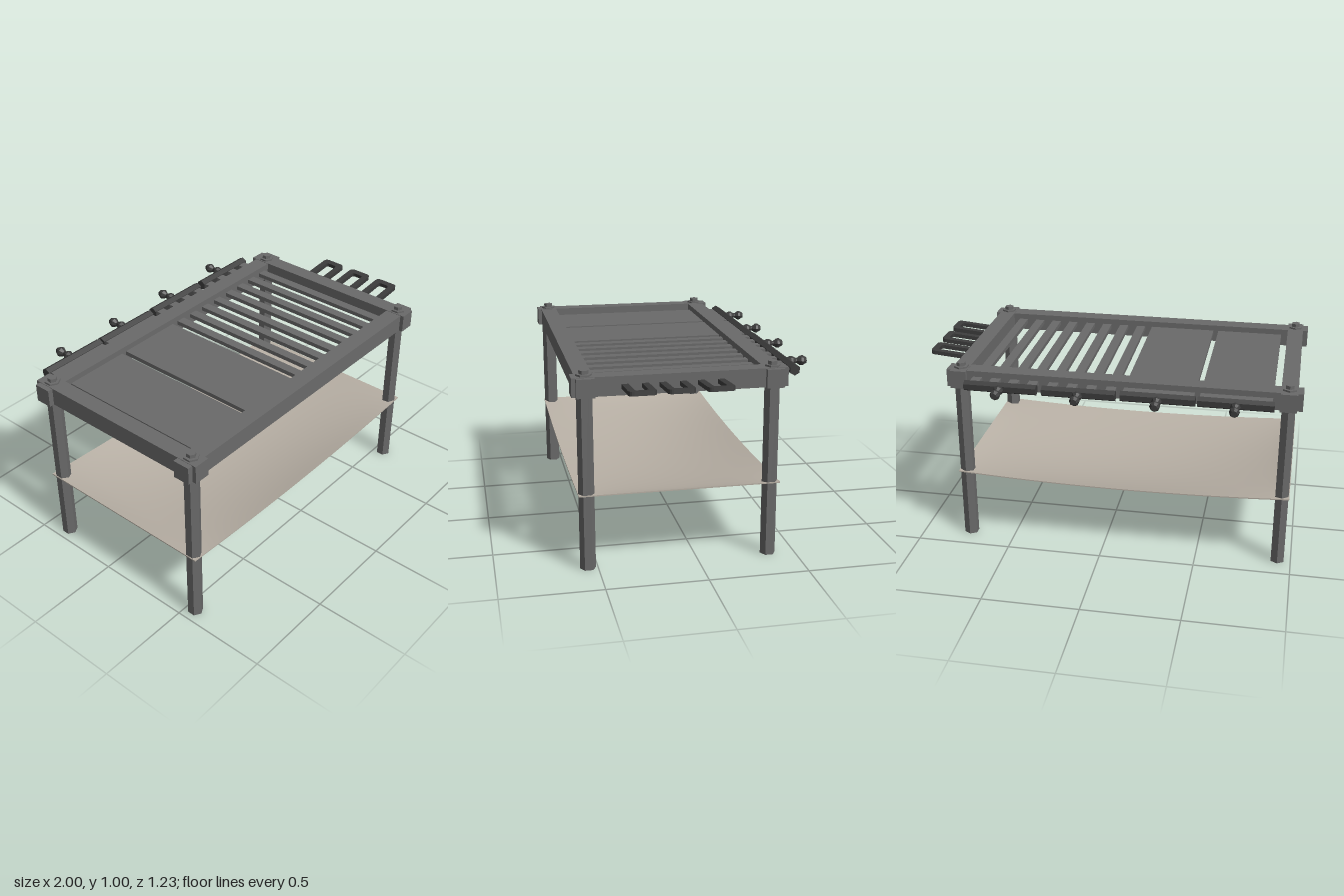
import * as THREE from 'three';

export function createModel() {
  const group = new THREE.Group();
  const iron = new THREE.MeshStandardMaterial({ color: 0x6a6a6a });
  iron.name = 'iron grey';
  const dark = new THREE.MeshStandardMaterial({ color: 0x3c3c3c });
  dark.name = 'dark iron';
  const cloth = new THREE.MeshStandardMaterial({ color: 0xb8b0a5 });
  cloth.name = 'beige tray';

  const add = (name, geo, mat, x = 0, y = 0, z = 0, parent = group) => {
    const m = new THREE.Mesh(geo, mat);
    m.name = name;
    m.position.set(x, y, z);
    parent.add(m);
    return m;
  };
  // Faceted copy of a geometry
  const flat = (geo) => {
    const g = geo.index ? geo.toNonIndexed() : geo;
    g.computeVertexNormals();
    return g;
  };
  const hex = (r, h) => flat(new THREE.CylinderGeometry(r, r, h, 6));
  const box = (x, y, z) => new THREE.BoxGeometry(x, y, z);

  const legX = [-0.931, 0.744], legZ = [0.549, -0.365];

  // Top frame of crossing rails
  for (const z of legZ) add('longRail', box(1.81, 0.092, 0.088), iron, -0.095, 0.925, z);
  for (const x of legX) add('sideRail', box(0.084, 0.094, 1.046), iron, x, 0.926, 0.09);

  // Hexagonal legs with bolts on top
  for (const x of legX) for (const z of legZ) {
    add('leg', hex(0.039, 0.982), iron, x, 0.491, z);
    add('bolt', hex(0.024, 0.022), iron, x, 0.989, z);
  }

  // Handle profile, turned along -z
  const profile = [[0, 0], [0.016, 0], [0.026, 0.022], [0.024, 0.034], [0.013, 0.052],
    [0.013, 0.056], [0.026, 0.076], [0.026, 0.088], [0.016, 0.106], [0, 0.106]]
    .map(([r, y]) => new THREE.Vector2(r, y));
  const handleGeo = flat(new THREE.LatheGeometry(profile, 8)).rotateX(-Math.PI / 2);
  const crossGeo = hex(0.028, 0.372).rotateY(Math.PI / 2).rotateZ(Math.PI / 2);

  // Sliding cooking surfaces: two plates, then two grates
  [-0.679, -0.296, 0.099, 0.5].forEach((x, i) => {
    const grate = i > 1;
    const unit = new THREE.Group();
    unit.name = grate ? 'grate' : 'griddlePlate';
    unit.position.set(x, 0.93, grate ? -0.006 : 0);
    group.add(unit);
    if (grate) {
      for (let k = 0; k < 4; k++) {
        add('grateBar', box(0.049, 0.022, 1.01), iron, (k - 1.5) * 0.099 - 0.003, 0, 0.02, unit);
      }
    } else {
      add('plate', box(0.355, 0.022, 1.01), iron, 0.003, 0, 0.02, unit);
    }
    add('crossBar', crossGeo, dark, 0, 0, -0.492, unit);
    add('handle', handleGeo, dark, 0, 0, -0.505, unit);
  });

  // U-shaped loops on the left end
  const w = 0.065, L = 0.235, t = 0.033, r = 0.024, q = 0.014;
  const u = new THREE.Shape();
  u.moveTo(0, -w);
  u.lineTo(L - r, -w);
  u.quadraticCurveTo(L, -w, L, -w + r);
  u.lineTo(L, w - r);
  u.quadraticCurveTo(L, w, L - r, w);
  u.lineTo(0, w);
  u.lineTo(0, w - t);
  u.lineTo(L - t - q, w - t);
  u.quadraticCurveTo(L - t, w - t, L - t, w - t - q);
  u.lineTo(L - t, -w + t + q);
  u.quadraticCurveTo(L - t, -w + t, L - t - q, -w + t);
  u.lineTo(0, -w + t);
  u.closePath();
  const loopGeo = new THREE.ExtrudeGeometry(u, { depth: 0.021, bevelEnabled: false, curveSegments: 4 });
  loopGeo.rotateX(Math.PI / 2);
  for (const z of [-0.051, 0.133, 0.314]) {
    add('endLoop', loopGeo, dark, 0.765, 0.932, z).rotation.z = 0.09;
  }

  // Sagging lower tray
  const tray = new THREE.BoxGeometry(1.75, 0.006, 1, 28, 1, 20);
  const p = tray.attributes.position;
  for (let i = 0; i < p.count; i++) {
    const sx = Math.max(0, 1 - (p.getX(i) / 0.875) ** 2);
    const sz = Math.max(0, 1 - (p.getZ(i) / 0.5) ** 2);
    p.setY(i, p.getY(i) - 0.026 * sx - 0.083 * Math.pow(sx, 0.75) * sz);
  }
  tray.computeVertexNormals();
  add('lowerTray', tray, cloth, -0.094, 0.387, 0.09);

  return group;
}
